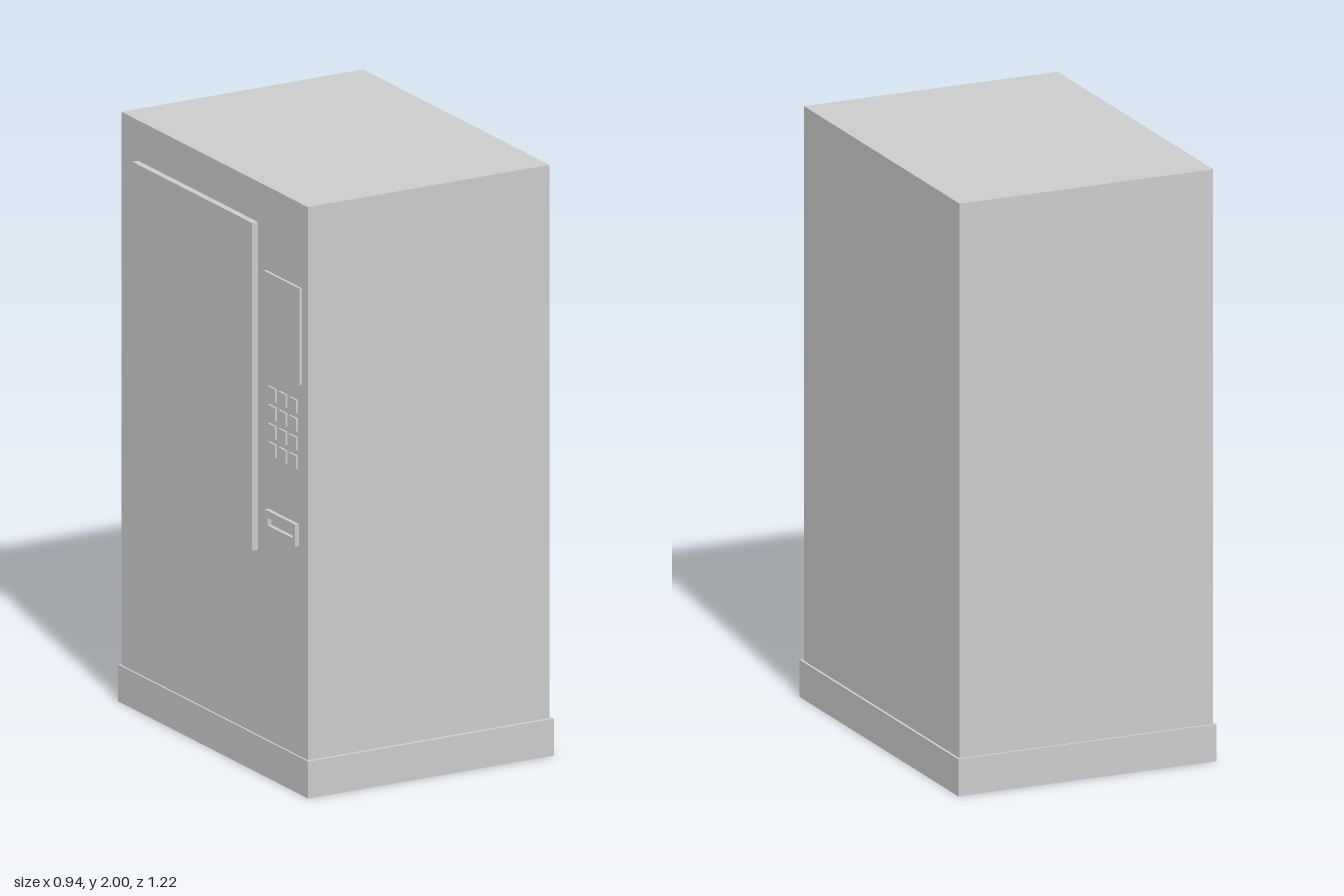
import * as THREE from 'three';

export function createModel() {
  const group = new THREE.Group();
  const material = new THREE.MeshStandardMaterial({ color: 0xcccccc });

  // Box given by its extents along each axis
  function box(name, [x0, x1], [y0, y1], [z0, z1], parent = group) {
    const mesh = new THREE.Mesh(new THREE.BoxGeometry(x1 - x0, y1 - y0, z1 - z0), material);
    mesh.position.set((x0 + x1) / 2, (y0 + y1) / 2, (z0 + z1) / 2);
    mesh.name = name;
    parent.add(mesh);
    return mesh;
  }

  const face = -0.449; // panel side of the cabinet

  // Cabinet on its plinth
  box('plinth', [-0.456, 0.465], [0, 0.125], [-0.61, 0.608]);
  box('cabinet', [face, 0.456], [0.125, 2], [-0.6, 0.594]);

  // Large display window and small screen
  box('displayWindow', [-0.471, face], [0.752, 1.863], [-0.493, 0.275]);
  box('screen', [-0.459, face], [1.387, 1.715], [0.326, 0.557]);

  // Keypad, four rows of three keys
  const keypad = new THREE.Group();
  keypad.name = 'keypad';
  group.add(keypad);
  for (let row = 0; row < 4; row++) {
    for (let col = 0; col < 3; col++) {
      const y = 1.307 - row * 0.063;
      const z = 0.373 + col * 0.067;
      box('key', [-0.456, face], [y - 0.022, y + 0.022], [z - 0.024, z + 0.024], keypad);
    }
  }

  // Raised frame around the payment slot
  const shape = new THREE.Shape();
  shape.moveTo(0.343, 0.835).lineTo(0.536, 0.835).lineTo(0.536, 0.91).lineTo(0.343, 0.91).closePath();
  const hole = new THREE.Path();
  hole.moveTo(0.36, 0.86).lineTo(0.36, 0.885).lineTo(0.519, 0.885).lineTo(0.519, 0.86).closePath();
  shape.holes.push(hole);
  const slot = new THREE.Mesh(
    new THREE.ExtrudeGeometry(shape, { depth: 0.014, bevelEnabled: false }), material);
  slot.rotation.y = -Math.PI / 2;
  slot.position.x = face;
  slot.name = 'paymentSlot';
  group.add(slot);

  return group;
}
